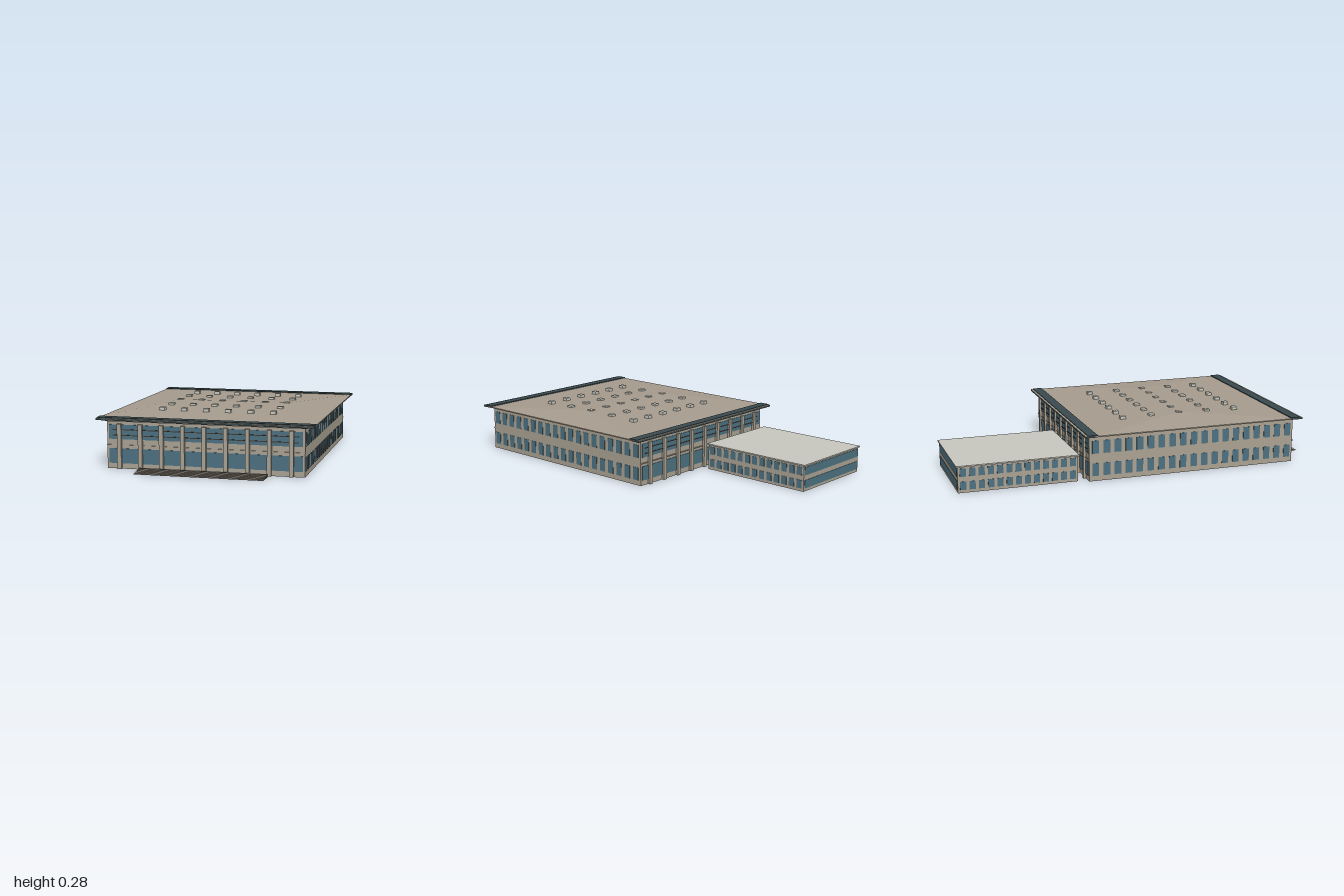
import * as THREE from 'three';

const mat = (name, color) => {
  const m = new THREE.MeshStandardMaterial({ color });
  m.name = name;
  return m;
};

export function createModel() {
  const stone = mat('stone', 0xa9a192);
  const roofing = mat('roofing', 0xa69c8e);
  const glass = mat('glass', 0x4c7080);
  const eaveDark = mat('dark eave', 0x3a4a4e);
  const iron = mat('dark iron', 0x40362f);
  const pale = mat('pale concrete', 0xc8c7be);

  const model = new THREE.Group();
  model.name = 'publicBuilding';

  // Box given by its extents on each axis
  const box = (parent, name, material, [x0, x1], [y0, y1], [z0, z1]) => {
    const mesh = new THREE.Mesh(new THREE.BoxGeometry(x1 - x0, y1 - y0, z1 - z0), material);
    mesh.position.set((x0 + x1) / 2, (y0 + y1) / 2, (z0 + z1) / 2);
    mesh.name = name;
    parent.add(mesh);
    return mesh;
  };
  const group = (name, parent = model) => {
    const g = new THREE.Group();
    g.name = name;
    parent.add(g);
    return g;
  };

  const MID = 0.288; // z of the main hall's centre
  const HALF = 0.588; // half depth of the main walls

  // Main hall
  const hall = group('mainHall');
  box(hall, 'hallWalls', stone, [-0.511, 0.511], [0, 0.243], [MID - HALF, MID + HALF]);
  box(hall, 'frieze', stone, [-0.52, 0.52], [0.242, 0.252], [MID - HALF - 0.008, MID + HALF + 0.008]);

  // Side windows in two storeys
  const sideWindows = (parent, x, count, zFirst, zLast, width, storeys) => {
    for (let i = 0; i < count; i++) {
      const z = zFirst + ((zLast - zFirst) * i) / (count - 1);
      for (const y of storeys)
        box(parent, 'sideWindow', glass, [x - 0.002, x + 0.002], y, [z - width / 2, z + width / 2]);
    }
  };
  for (const s of [-1, 1])
    sideWindows(hall, s * 0.511, 19, 0.844, -0.265, 0.037, [[0.028, 0.097], [0.15, 0.22]]);

  // Front and back facades share one layout; z = 0 is the wall plane
  const facade = (name) => {
    const f = group(name, hall);
    box(f, 'lowerGlazing', glass, [-0.5, 0.5], [0.028, 0.104], [-0.001, 0.003]);
    box(f, 'upperGlazing', glass, [-0.5, 0.5], [0.152, 0.226], [-0.001, 0.003]);
    box(f, 'floorLedge', stone, [-0.513, 0.513], [0.118, 0.123], [-0.001, 0.005]);
    for (const y of [0.172, 0.201])
      box(f, 'rail', iron, [-0.48, 0.48], [y - 0.002, y + 0.002], [0.002, 0.006]);
    for (let i = -4; i <= 4; i++) {
      const x = i * 0.111;
      box(f, 'column', stone, [x - 0.011, x + 0.011], [0, 0.231], [-0.002, 0.014]);
    }
    // Eave across the full width, with a thin upper lip
    box(f, 'eave', eaveDark, [-0.56, 0.56], [0.251, 0.263], [-0.032, 0.021]);
    box(f, 'eaveFascia', eaveDark, [-0.56, 0.56], [0.25, 0.258], [0.021, 0.033]);
    box(f, 'eaveLip', stone, [-0.56, 0.56], [0.258, 0.26], [0.021, 0.034]);
    return f;
  };
  facade('frontFacade').position.z = MID + HALF;
  const back = facade('backFacade');
  back.position.z = MID - HALF;
  back.rotation.y = Math.PI;

  // Low hipped roof: slab plus four slopes rising to a ridge
  box(hall, 'roofSlab', roofing, [-0.56, 0.56], [0.252, 0.258], [MID - 0.57, MID + 0.57]);
  const [rx, rz, y0, y1, ridge] = [0.56, 0.565, 0.258, 0.28, 0.3];
  const a = [-rx, y0, MID + rz], b = [rx, y0, MID + rz], c = [rx, y0, MID - rz], d = [-rx, y0, MID - rz];
  const l = [-ridge, y1, MID], r = [ridge, y1, MID];
  const hip = new THREE.BufferGeometry();
  hip.setAttribute('position', new THREE.Float32BufferAttribute(
    [a, b, r, a, r, l, c, d, l, c, l, r, b, c, r, d, a, l].flat(), 3));
  hip.computeVertexNormals();
  const roof = new THREE.Mesh(hip, roofing);
  roof.name = 'hippedRoof';
  hall.add(roof);

  // Grid of skylights
  const skylights = group('skylights', hall);
  for (const z of [-0.045, 0.122, 0.283, 0.447, 0.613])
    for (let i = 0; i < 6; i++) {
      const x = -0.3 + i * 0.119;
      box(skylights, 'skylight', pale, [x - 0.015, x + 0.015], [0.268, 0.284], [z - 0.015, z + 0.015]);
    }

  // Entrance steps with dark risers
  const steps = group('entranceSteps');
  const N = 6, run = 0.095 / N, rise = 0.015 / N;
  for (let i = 0; i < N; i++) {
    const z = 1 - i * run;
    box(steps, 'riser', iron, [-0.33, 0.33], [0, rise * (i + 1) - 0.0004], [z - run, z]);
    box(steps, 'tread', stone, [-0.33, 0.33], [rise * (i + 1) - 0.0004, rise * (i + 1)], [z - run, z]);
  }

  // Rear annex
  const annex = group('rearAnnex');
  const ax = [-0.485, 0.022], az = [-0.992, -0.355];
  box(annex, 'annexWalls', stone, ax, [0, 0.138], az);
  box(annex, 'annexRoof', pale, [-0.492, 0.028], [0.138, 0.145], [-1, -0.347]);
  for (const x of ax)
    sideWindows(annex, x, 13, -0.382, -0.964, 0.032, [[0.016, 0.06], [0.086, 0.13]]);
  for (const z of az)
    for (const y of [[0.016, 0.06], [0.086, 0.13]])
      box(annex, 'stripWindow', glass, [ax[0] + 0.008, ax[1] - 0.008], y, [z - 0.002, z + 0.002]);

  return model;
}
